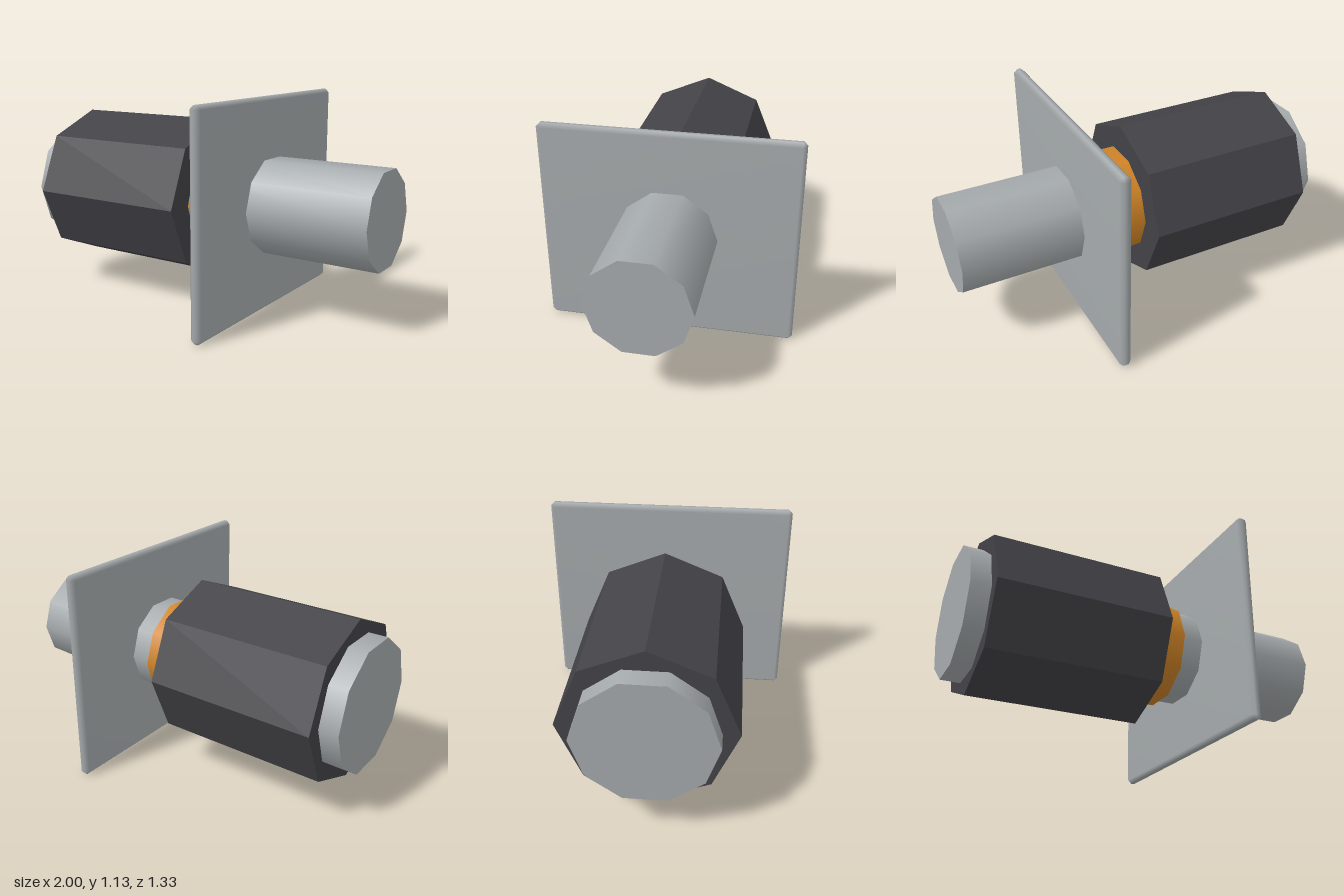
import * as THREE from 'three';
import { mergeVertices } from 'three/addons/utils/BufferGeometryUtils.js';
import { ConvexGeometry } from 'three/addons/geometries/ConvexGeometry.js';

const AXIS_Y = 0.567;

// Box with single chamfers on all edges and soft normals
function chamferedBox(w, h, d, c) {
  const points = [];
  for (const sx of [-1, 1]) for (const sy of [-1, 1]) for (const sz of [-1, 1]) {
    const [x, y, z] = [w / 2, h / 2, d / 2];
    points.push(
      new THREE.Vector3(sx * x, sy * (y - c), sz * (z - c)),
      new THREE.Vector3(sx * (x - c), sy * y, sz * (z - c)),
      new THREE.Vector3(sx * (x - c), sy * (y - c), sz * z));
  }
  const hull = new ConvexGeometry(points);
  hull.deleteAttribute('normal');
  const geometry = mergeVertices(hull, 1e-4);
  geometry.computeVertexNormals();
  return geometry;
}

export function createModel() {
  const model = new THREE.Group();
  model.name = 'flangedShaft';

  const steel = new THREE.MeshStandardMaterial({ color: 0xa5aaac });
  steel.name = 'steel';
  const orange = new THREE.MeshStandardMaterial({ color: 0xd08426 });
  orange.name = 'orange';
  const darkGrey = new THREE.MeshStandardMaterial({ color: 0x434247 });
  darkGrey.name = 'darkGrey';
  darkGrey.flatShading = true;

  // Prism lying along x between two positions, with a corner facing +z
  const addRod = (name, x0, x1, radius, sides, material) => {
    const geometry = new THREE.CylinderGeometry(radius, radius, x1 - x0, sides);
    geometry.rotateZ(-Math.PI / 2);
    const mesh = new THREE.Mesh(geometry, material);
    mesh.name = name;
    mesh.position.set((x0 + x1) / 2, AXIS_Y, 0);
    model.add(mesh);
  };

  addRod('endCap', -1, -0.88, 0.345, 10, steel);
  addRod('barrel', -0.897, 0.023, 0.43, 8, darkGrey);
  addRod('collar', 0, 0.177, 0.285, 10, orange);
  addRod('shaft', 0.15, 1, 0.257, 10, steel);

  // Mounting plate around the shaft
  const plate = new THREE.Mesh(chamferedBox(0.06, 1.133, 1.333, 0.02), steel);
  plate.name = 'mountingPlate';
  plate.position.set(0.33, AXIS_Y, 0);
  model.add(plate);

  return model;
}
